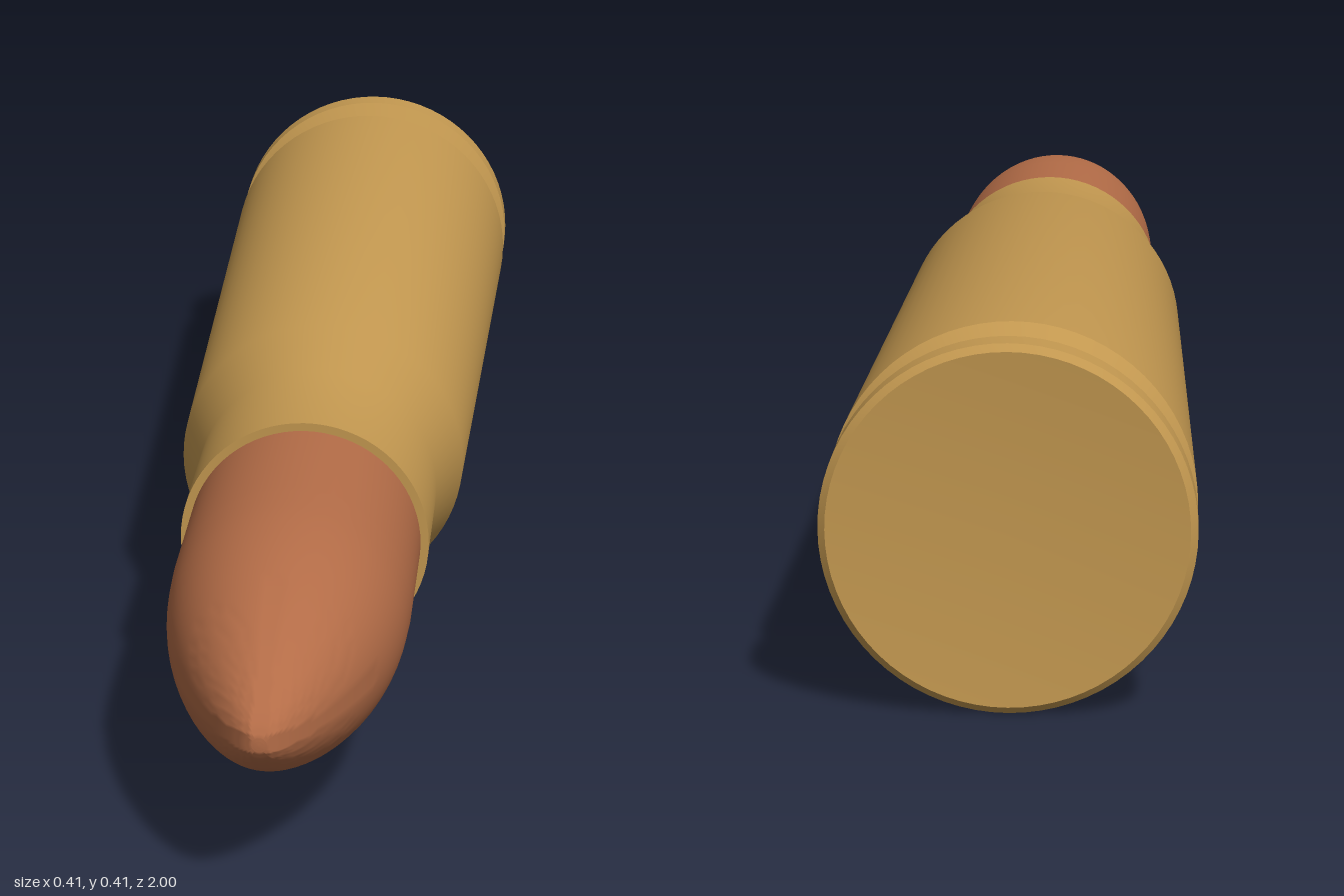
import * as THREE from 'three';
import { toCreasedNormals } from 'three/addons/utils/BufferGeometryUtils.js';

const AXIS_HEIGHT = 0.203;

// Turned part from [z, radius] pairs, listed from back to front
function turned(name, profile, material, crease) {
  const points = profile.map(([z, r]) => new THREE.Vector2(r, z));
  const geometry = new THREE.LatheGeometry(points, 72);
  geometry.rotateX(Math.PI / 2);
  const mesh = new THREE.Mesh(toCreasedNormals(geometry, crease), material);
  mesh.name = name;
  mesh.position.y = AXIS_HEIGHT;
  return mesh;
}

export function createModel() {
  const group = new THREE.Group();
  group.name = 'cartridge';
  const brass = new THREE.MeshStandardMaterial({ color: 0xc39850 });
  brass.name = 'brass';
  const copper = new THREE.MeshStandardMaterial({ color: 0xb36c47 });
  copper.name = 'copper';

  // Slightly dished base, rim, extractor groove, tapered body, shoulder, neck and lip
  group.add(turned('case', [
    [-0.985, 0], [-1, 0.195],
    [-0.993, 0.203], [-0.955, 0.203],
    [-0.938, 0.174], [-0.905, 0.174],
    [-0.877, 0.203],
    [0.09, 0.181], [0.19, 0.152],
    [0.385, 0.152], [0.385, 0.141], [0.36, 0.141],
  ], brass, 0.5));

  // Cylindrical shank running into a rounded ogive nose
  const nose = new THREE.SplineCurve([
    [0.58, 0.142], [0.66, 0.138], [0.74, 0.126], [0.82, 0.105],
    [0.89, 0.079], [0.945, 0.052], [0.98, 0.028], [0.995, 0.012], [1, 0],
  ].map(([z, r]) => new THREE.Vector2(z, r)));
  const noseProfile = nose.getPoints(32).map((p) => [p.x, Math.max(p.y, 0)]);
  group.add(turned('projectile', [[0.36, 0.142], ...noseProfile], copper, 0.7));

  return group;
}
